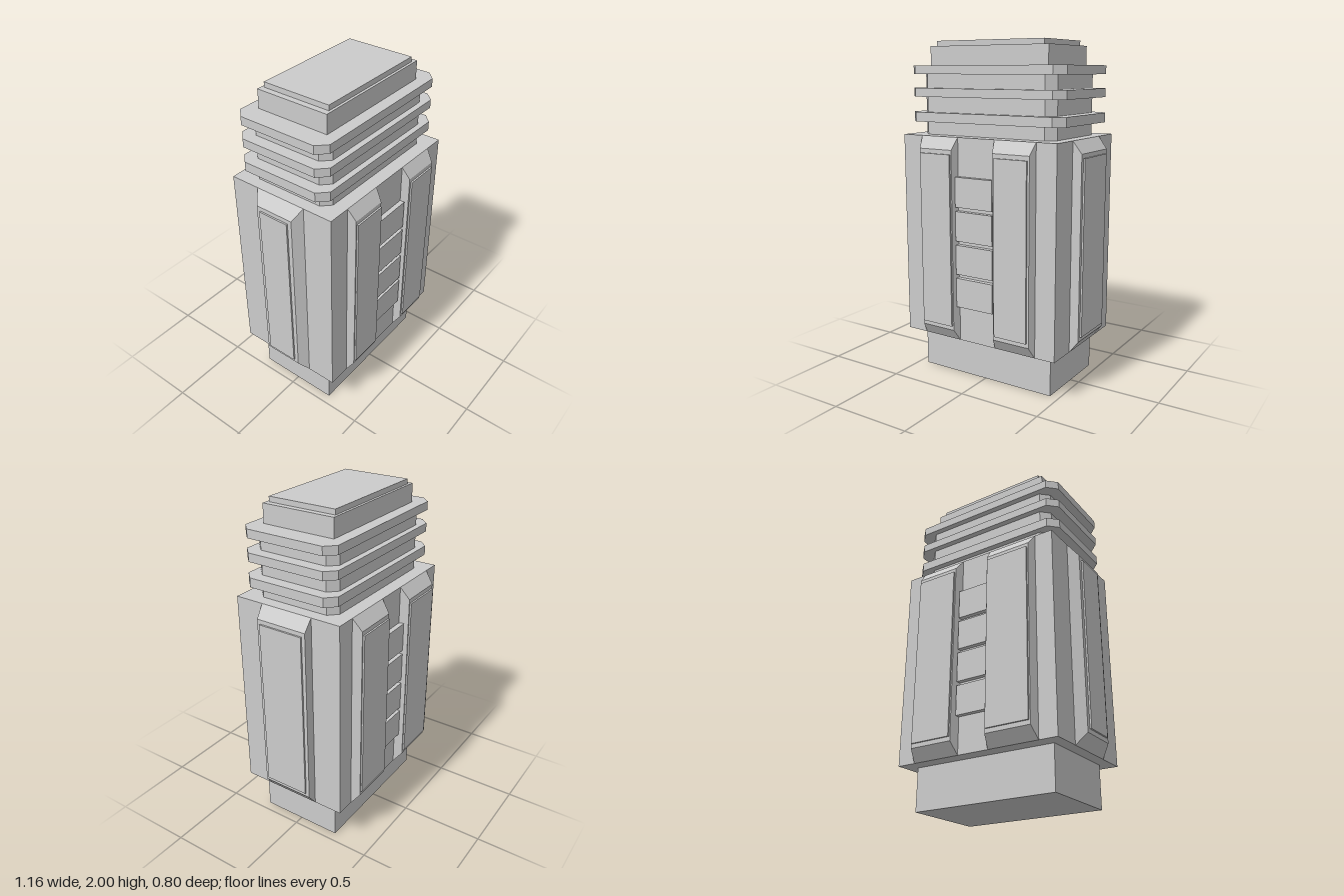
import * as THREE from 'three';

const material = new THREE.MeshStandardMaterial({ color: 0xcccccc, flatShading: true });

export function createModel() {
  const model = new THREE.Group();

  const add = (parent, name, geometry, x = 0, y = 0, z = 0) => {
    const mesh = new THREE.Mesh(geometry, material);
    mesh.name = name;
    mesh.position.set(x, y, z);
    parent.add(mesh);
    return mesh;
  };

  // Box centred on the axis, from height y0 to y1
  const block = (name, w, d, y0, y1) =>
    add(model, name, new THREE.BoxGeometry(w, y1 - y0, d), 0, (y0 + y1) / 2, 0);

  // Horizontal slab with cut corners
  const cutSlab = (name, w, d, cut, y0, y1) => {
    const a = w / 2, b = d / 2;
    const shape = new THREE.Shape([
      [a - cut, -b], [a, -b + cut], [a, b - cut], [a - cut, b],
      [-a + cut, b], [-a, b - cut], [-a, -b + cut], [-a + cut, -b],
    ].map(([x, y]) => new THREE.Vector2(x, y)));
    const geometry = new THREE.ExtrudeGeometry(shape, { depth: y1 - y0, bevelEnabled: false });
    geometry.rotateX(-Math.PI / 2);
    return add(model, name, geometry, 0, y0, 0);
  };

  // Raised panel facing +z whose outer face is drawn in on all sides
  const taperedBox = (w, h, depth, insetX, insetY) => {
    const geometry = new THREE.BoxGeometry(w, h, depth);
    geometry.translate(0, 0, depth / 2);
    const p = geometry.attributes.position;
    for (let i = 0; i < p.count; i++) {
      if (p.getZ(i) > depth / 2) {
        p.setX(i, p.getX(i) - Math.sign(p.getX(i)) * insetX);
        p.setY(i, p.getY(i) - Math.sign(p.getY(i)) * insetY);
      }
    }
    geometry.computeVertexNormals();
    return geometry;
  };

  const BOTTOM = 0.25, TOP = 1.46, MID = (BOTTOM + TOP) / 2;

  // Foot, main body and neck
  block('foot', 0.89, 0.51, 0, BOTTOM);
  block('body', 1.03, 0.68, BOTTOM, TOP);
  cutSlab('neck', 0.89, 0.52, 0.05, TOP, 1.82);

  // Cooling fins round the neck
  for (const [y0, y1] of [[1.535, 1.59], [1.68, 1.73], [1.81, 1.86]]) {
    cutSlab('fin', 1.03, 0.59, 0.056, y0, y1);
  }

  // Stepped cap
  block('cap', 0.79, 0.45, 1.86, 1.97);
  block('capTop', 0.72, 0.42, 1.97, 2);

  // Bevelled panels with a thin inlay: offset along face, width, depth, inset, inlay width
  const panels = [
    { side: 'front', turn: 0, face: 0.34, at: -0.25, w: 0.255, depth: 0.045, inset: 0.015, inlay: 0.21 },
    { side: 'front', turn: 0, face: 0.34, at: 0.258, w: 0.265, depth: 0.045, inset: 0.015, inlay: 0.21 },
    { side: 'back', turn: Math.PI, face: 0.34, at: -0.25, w: 0.3, depth: 0.053, inset: 0.015, inlay: 0.255 },
    { side: 'back', turn: Math.PI, face: 0.34, at: 0.25, w: 0.31, depth: 0.053, inset: 0.015, inlay: 0.265 },
    { side: 'left', turn: Math.PI / 2, face: 0.515, at: 0, w: 0.325, depth: 0.053, inset: 0.004, inlay: 0.275 },
    { side: 'right', turn: -Math.PI / 2, face: 0.515, at: 0, w: 0.32, depth: 0.055, inset: 0.04, inlay: 0.19 },
  ];
  for (const { side, turn, face, at, w, depth, inset, inlay } of panels) {
    const group = new THREE.Group();
    group.name = side + 'Panel';
    group.rotation.y = turn;
    add(group, 'panel', taperedBox(w, TOP - BOTTOM, depth, inset, 0.07), at, MID, face);
    add(group, 'inlay', new THREE.BoxGeometry(inlay, 1.02, 0.02), at, 0.855, face + depth);
    model.add(group);
  }

  // Column of four small blocks between the panels, front and back
  for (const [side, z, w] of [['front', 0.34, 0.25], ['back', -0.34, 0.2]]) {
    for (let i = 0; i < 4; i++) {
      add(model, side + 'Step', new THREE.BoxGeometry(w, 0.175, 0.058), 0, 0.553 + i * 0.199, z);
    }
  }

  return model;
}
